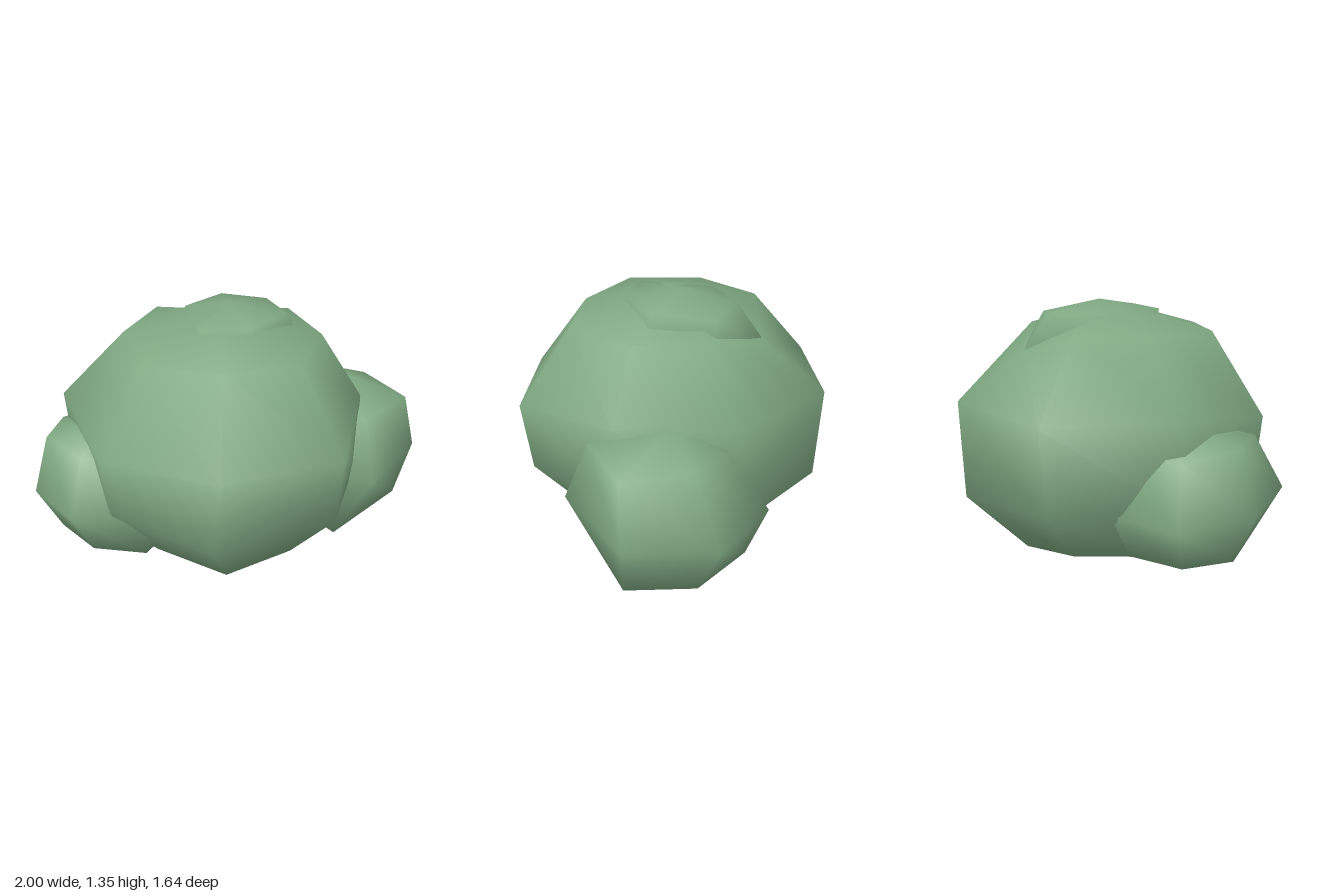
import * as THREE from 'three';

const leaf = new THREE.MeshStandardMaterial({ color: 0x7fa882 });
leaf.name = 'leafGreen';

// A coarse smooth-shaded ball; nudges [row, column, dx, dy, dz] make it irregular.
function clump(name, { at, size, sides, rows, turn = 0, nudges = [] }) {
  const geo = new THREE.SphereGeometry(1, sides, rows);
  geo.rotateY(turn);
  geo.scale(...size);
  const pos = geo.attributes.position;
  for (const [row, col, dx, dy, dz] of nudges) {
    const pole = row === 0 || row === rows;
    for (let c = 0; c <= sides; c++) {
      if (!pole && c % sides !== col) continue;
      const i = row * (sides + 1) + c;
      pos.setXYZ(i, pos.getX(i) + dx, pos.getY(i) + dy, pos.getZ(i) + dz);
    }
  }
  const mesh = new THREE.Mesh(geo, leaf);
  mesh.name = name;
  mesh.position.set(...at);
  return mesh;
}

export function createModel() {
  const bush = new THREE.Group();
  bush.name = 'bush';
  bush.add(
    // Large central mass
    clump('mainFoliage', {
      at: [-0.08, 0.67, 0], size: [0.83, 0.67, 0.86], sides: 8, rows: 5,
      nudges: [
        [1, 0, -0.03, 0, 0], [1, 1, 0.03, 0, -0.02], [1, 2, 0, 0, 0.02], [1, 5, 0, -0.1, 0],
        [2, 0, 0, -0.07, 0], [2, 1, 0.02, -0.07, -0.03], [2, 2, -0.01, -0.05, 0],
        [2, 3, -0.07, 0, -0.06], [2, 4, -0.02, 0, 0], [2, 5, 0.03, 0, -0.01],
        [2, 6, 0.02, -0.03, 0], [2, 7, -0.03, 0, 0],
        [3, 0, 0.03, 0.02, 0], [3, 1, -0.03, 0, -0.03], [3, 2, 0, 0, -0.04],
        [3, 3, -0.06, 0, -0.06], [3, 4, 0.01, -0.08, 0], [3, 5, 0.01, -0.08, 0],
        [3, 6, 0.01, -0.05, 0.05],
        [4, 1, 0.02, -0.06, 0], [4, 5, 0, -0.06, 0], [5, 0, 0.04, 0, 0.03],
      ],
    }),
    // Front clump on the left
    clump('frontFoliage', {
      at: [0.53, 0.46, 0.27], size: [0.47, 0.43, 0.47], sides: 6, rows: 4,
      nudges: [
        [1, 1, -0.02, 0.03, 0.06], [1, 2, 0, 0.03, 0.05], [1, 3, -0.08, 0.03, 0],
        [1, 4, 0, 0.03, 0.07], [2, 1, -0.01, 0.03, 0.05], [2, 2, 0.015, 0.02, -0.04],
        [2, 3, 0, 0.04, -0.02], [3, 1, -0.19, 0, 0.03], [3, 2, 0, 0.02, 0.04],
        [3, 3, -0.04, 0.01, 0], [3, 4, 0, 0.02, -0.04], [4, 0, -0.04, 0, 0.02],
      ],
    }),
    // Back clump on the right
    clump('backFoliage', {
      at: [-0.58, 0.43, -0.31], size: [0.46, 0.4, 0.46], sides: 7, rows: 4, turn: 0.47,
      nudges: [
        [1, 0, 0, 0.04, 0], [1, 6, 0, 0.04, 0], [2, 0, -0.01, 0.06, 0.01],
        [2, 4, -0.03, 0, 0.03], [2, 6, 0.04, 0.02, 0.02], [3, 0, 0.02, 0.05, 0],
        [3, 4, 0, 0.05, 0.03], [3, 5, 0, 0.05, 0.05], [3, 6, 0.02, 0.06, 0.02],
        [4, 0, 0.03, 0, 0.08],
      ],
    }),
    // Low cap on the crown
    clump('topFoliage', {
      at: [0.04, 1.14, -0.04], size: [0.36, 0.21, 0.36], sides: 6, rows: 4,
      nudges: [
        [0, 0, -0.04, 0, 0.02], [1, 0, -0.08, 0.015, 0.11], [1, 1, -0.01, 0.02, 0.04],
        [1, 2, 0, 0.02, 0.03], [1, 3, 0.01, -0.01, -0.02], [2, 4, 0.06, -0.08, -0.04],
      ],
    }),
  );
  return bush;
}
